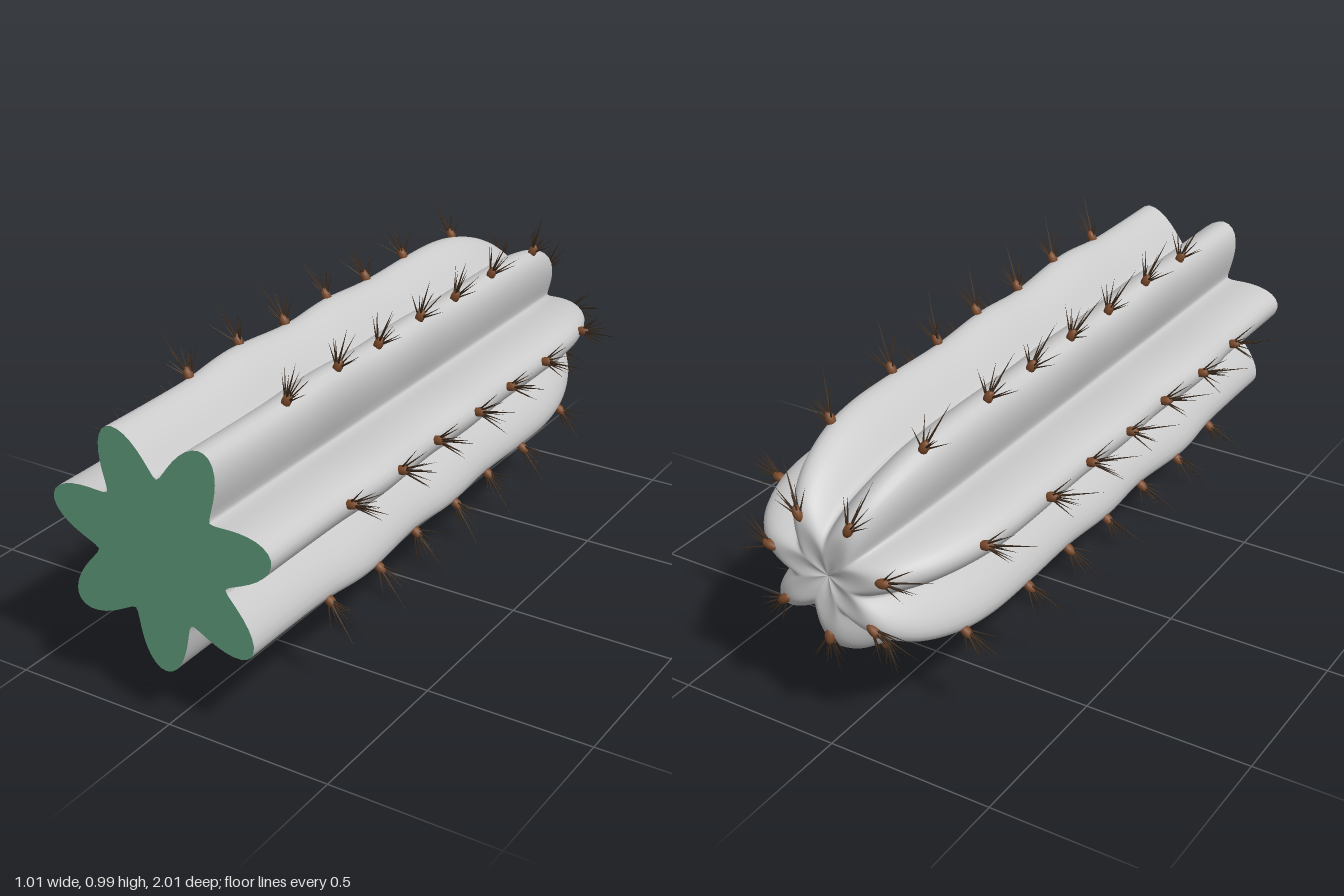
import * as THREE from 'three';
import { mergeGeometries } from 'three/addons/utils/BufferGeometryUtils.js';

const RIBS = 7, SEGS = RIBS * 18, RINGS = 110, CY = 0.515;

// rib crest radius along the stem, from the cut end to the dimpled tip: (radius, z)
const crest = new THREE.SplineCurve([
  [0.352, 1], [0.352, 0.82], [0.355, 0.65], [0.369, 0.46], [0.353, 0.2], [0.361, 0],
  [0.35, -0.22], [0.353, -0.45], [0.35, -0.62], [0.33, -0.75], [0.285, -0.87],
  [0.225, -0.95], [0.16, -0.985], [0.08, -0.985], [0.001, -0.972],
].map(([r, z]) => new THREE.Vector2(r, z)));

// star-shaped cross-section with rounded crests and narrower grooves
function section(R) {
  const groove = Math.min(0.207, R * 0.59);
  return Array.from({ length: SEGS }, (_, j) => {
    const t = (j / SEGS) * Math.PI * 2;
    const k = Math.pow(0.5 + 0.5 * Math.cos(RIBS * t), 0.8);
    const r = groove + (R - groove) * k, a = t - Math.PI / 2;
    return new THREE.Vector2(Math.cos(a) * r, Math.sin(a) * r);
  });
}

function stemGeometry() {
  const pos = [], index = [];
  for (let i = 0; i <= RINGS; i++) {
    const p = crest.getPoint(i / RINGS);
    for (const q of section(p.x)) pos.push(q.x, q.y, p.y);
    if (i === RINGS) break;
    for (let j = 0; j < SEGS; j++) {
      const a = i * SEGS + j, b = i * SEGS + (j + 1) % SEGS;
      index.push(a, a + SEGS, b, b, a + SEGS, b + SEGS);
    }
  }
  const g = new THREE.BufferGeometry();
  g.setAttribute('position', new THREE.Float32BufferAttribute(pos, 3));
  g.setIndex(index);
  g.computeVertexNormals();
  return g;
}

// small seeded generator for the spine variation
let seed = 7;
const rand = (lo, hi) => {
  seed = (seed * 16807) % 2147483647;
  return lo + (hi - lo) * (seed / 2147483647);
};

const UP = new THREE.Vector3(0, 1, 0);
// thin tapering spine from the origin towards (x, y, z)
function spine(x, y, z, radius) {
  const d = new THREE.Vector3(x, y, z), len = d.length();
  const g = new THREE.ConeGeometry(radius, len, 5);
  g.translate(0, len / 2, 0);
  return g.applyQuaternion(new THREE.Quaternion().setFromUnitVectors(UP, d.normalize()));
}

// one cluster: a long leaning spine and a fan of shorter ones, pointing along +y
function spineCluster() {
  const parts = [spine(rand(-0.015, 0.015), 0.152, 0.04, 0.0045)];
  for (let i = 0; i < 8; i++) {
    const a = -0.62 + (1.24 * i) / 7 + rand(-0.08, 0.08), len = rand(0.075, 0.115);
    parts.push(spine(Math.sin(a) * len, Math.cos(a) * len, rand(-0.03, 0.03), 0.0035));
  }
  return mergeGeometries(parts);
}

export function createModel() {
  const model = new THREE.Group();
  const add = (name, geometry, color) => {
    const mesh = new THREE.Mesh(geometry, new THREE.MeshStandardMaterial({ color }));
    mesh.name = name;
    model.add(mesh);
    return mesh;
  };

  // ribbed stem lying along z, with its flat cut face at the front
  add('ribbedStem', stemGeometry(), 0xcccccc).position.y = CY;
  add('cutFace', new THREE.ShapeGeometry(new THREE.Shape(section(0.352))), 0x5f9a7c)
    .position.set(0, CY, 1);

  // areoles and spines along each crest: (radius, z)
  const spots = [[0.354, 0.65], [0.366, 0.415], [0.353, 0.2], [0.36, -0.02],
    [0.35, -0.23], [0.353, -0.45], [0.332, -0.74], [0.175, -0.98]];
  const areoles = [], spines = [];
  for (let k = 0; k < RIBS; k++) {
    const turn = (k / RIBS) * Math.PI * 2 + Math.PI;
    for (const [r, z] of spots) {
      const place = new THREE.Matrix4().makeTranslation(0, CY, 0)
        .multiply(new THREE.Matrix4().makeRotationZ(turn))
        .multiply(new THREE.Matrix4().makeTranslation(0, r, z));
      const bud = new THREE.SphereGeometry(0.014, 10, 8).scale(1, 1.7, 1).translate(0, 0.008, 0);
      areoles.push(bud.applyMatrix4(place));
      spines.push(spineCluster().applyMatrix4(place));
    }
  }
  add('areoles', mergeGeometries(areoles), 0x7a4a2c);
  add('spines', mergeGeometries(spines), 0x3d2c1e);
  return model;
}
